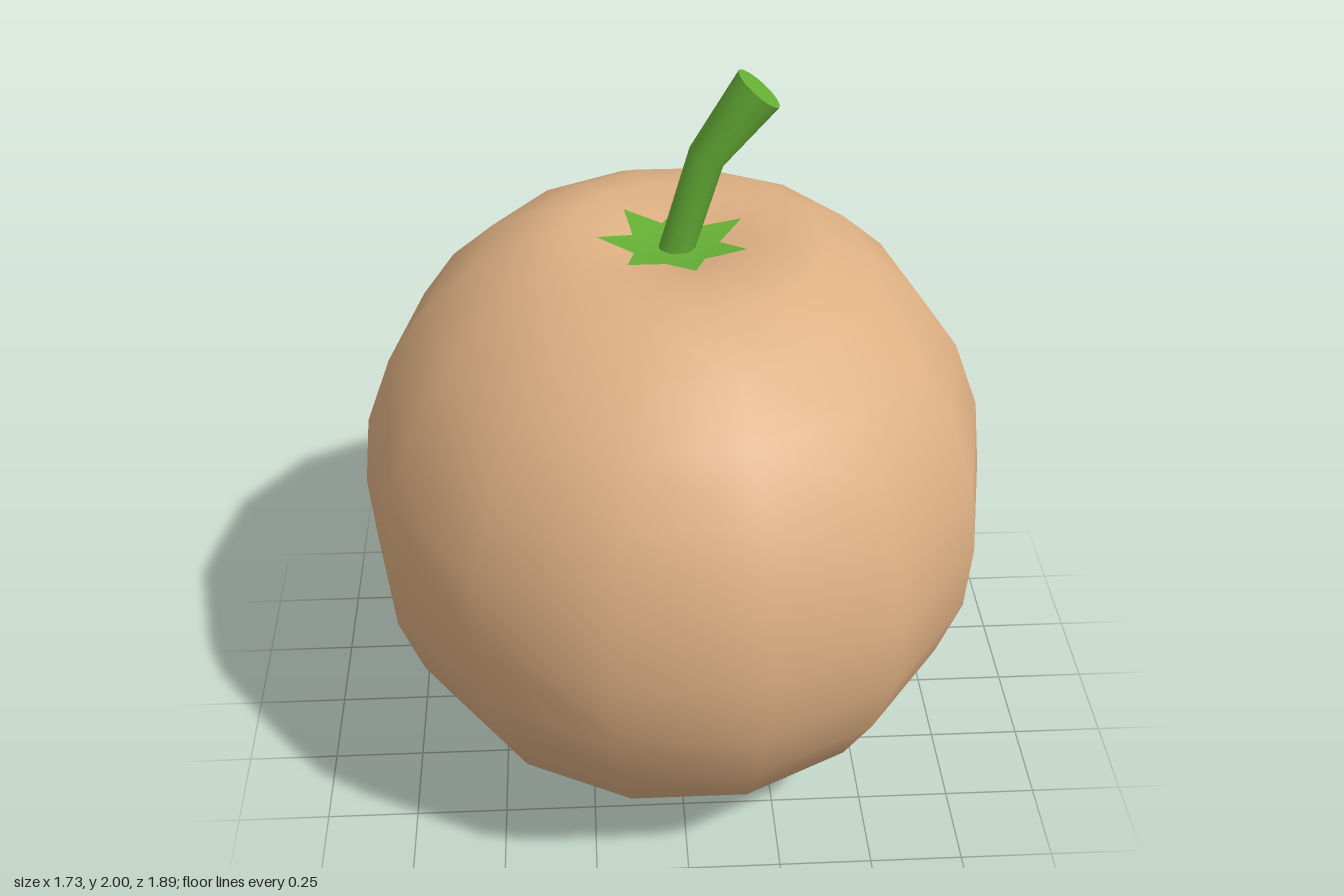
import * as THREE from 'three';

const skin = new THREE.MeshStandardMaterial({ color: 0xdeb083 });
const green = new THREE.MeshStandardMaterial({ color: 0x66b036 });
const leafGreen = new THREE.MeshStandardMaterial({ color: 0x66b036, side: THREE.DoubleSide });

// Fruit body: 14-sided lathe, stretched front to back, with a dimpled top
function makeBody() {
  const profile = [
    [0, 0.004], [0.19, 0.004], [0.37, 0.035], [0.54, 0.13], [0.69, 0.265], [0.785, 0.43],
    [0.85, 0.61], [0.866, 0.8], [0.845, 1.0], [0.775, 1.19], [0.67, 1.34], [0.54, 1.46],
    [0.4, 1.535], [0.27, 1.56], [0.14, 1.52], [0, 1.49],
  ].map(([r, y]) => new THREE.Vector2(r, y));
  profile[0].y = 0;
  const geo = new THREE.LatheGeometry(profile, 14, Math.PI / 2);
  geo.scale(1, 1, 1.117);
  return new THREE.Mesh(geo, skin);
}

// Seven-pointed leaf star, cupped to follow the dimple
function makeLeaves() {
  const points = 7;
  const pos = [0, 1.51, 0];
  const index = [];
  for (let i = 0; i < points * 2; i++) {
    const tip = i % 2 === 0;
    const a = Math.PI + (i * Math.PI) / points;
    const r = tip ? 0.205 : 0.12;
    pos.push(r * Math.cos(a), tip ? 1.549 : 1.526, r * Math.sin(a));
    index.push(0, ((i + 1) % (points * 2)) + 1, i + 1);
  }
  const geo = new THREE.BufferGeometry();
  geo.setAttribute('position', new THREE.Float32BufferAttribute(pos, 3));
  geo.setIndex(index);
  geo.computeVertexNormals();
  return new THREE.Mesh(geo, leafGreen);
}

// Bent stem: three tilted rings, widening to a cut end
function makeStem() {
  const rings = [
    { x: 0, y: 1.49, r: 0.047, tilt: 0.25 },
    { x: 0.083, y: 1.773, r: 0.05, tilt: 0.43 },
    { x: 0.215, y: 1.957, r: 0.07, tilt: 0.7 },
  ];
  const geo = new THREE.CylinderGeometry(1, 1, 2, 16, 2);
  const p = geo.attributes.position;
  for (let i = 0; i < p.count; i++) {
    const ring = rings[Math.round(p.getY(i)) + 1];
    const u = p.getX(i) * ring.r;
    p.setXYZ(i, ring.x + u * Math.cos(ring.tilt), ring.y - u * Math.sin(ring.tilt), p.getZ(i) * ring.r);
  }
  geo.computeVertexNormals();
  return new THREE.Mesh(geo, green);
}

export function createModel() {
  const model = new THREE.Group();
  model.name = 'fruit';
  const parts = { body: makeBody(), leaves: makeLeaves(), stem: makeStem() };
  for (const [name, mesh] of Object.entries(parts)) {
    mesh.name = name;
    model.add(mesh);
  }
  return model;
}
